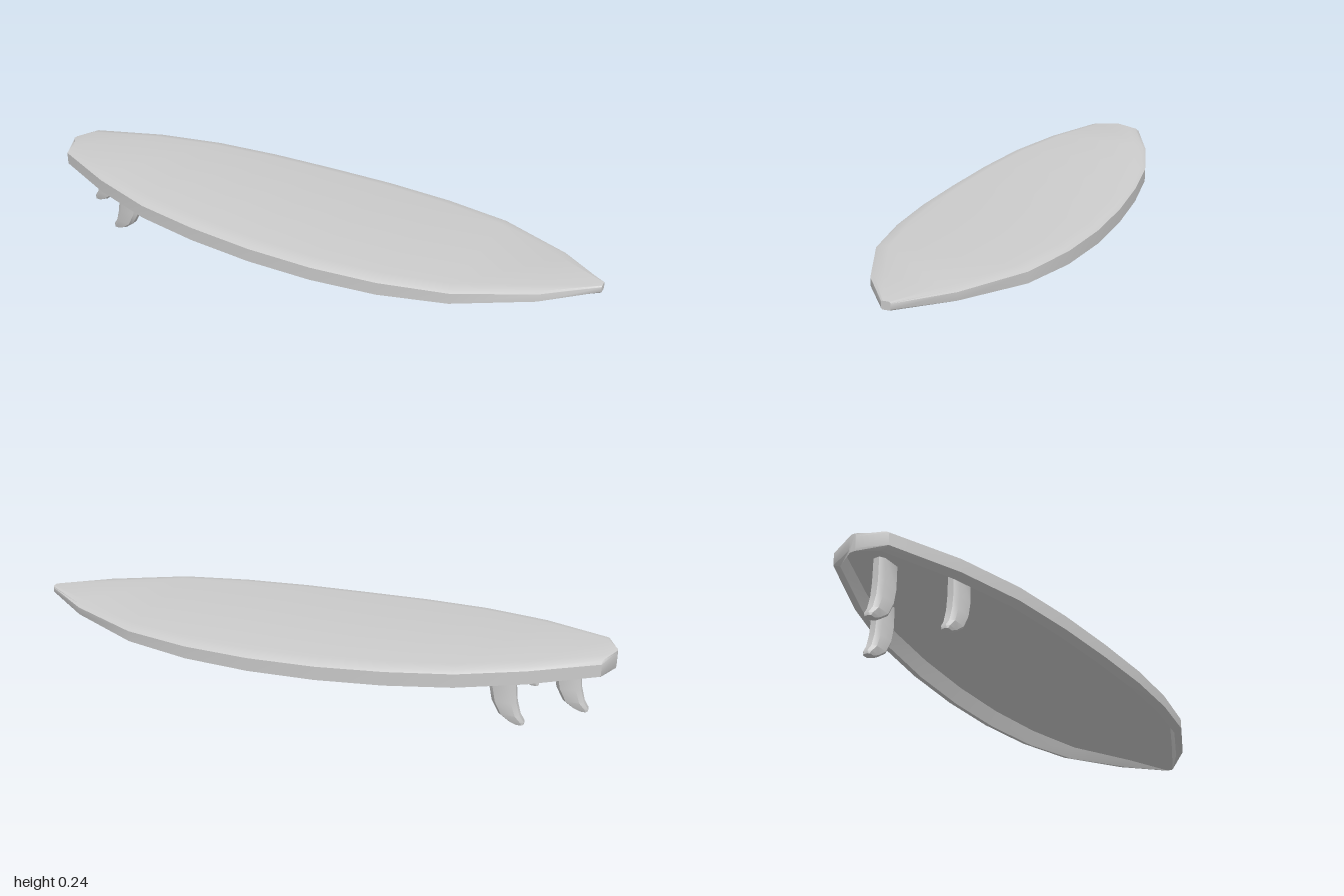
import * as THREE from 'three';
import { toCreasedNormals } from 'three/addons/utils/BufferGeometryUtils.js';

// Skin a list of closed rings (arrays of [x, y, z]) and cap both ends.
function loft(rings, crease) {
  const n = rings[0].length, last = (rings.length - 1) * n, index = [];
  for (let i = 0; i < rings.length - 1; i++) {
    for (let j = 0; j < n; j++) {
      const a = i * n + j, b = i * n + (j + 1) % n;
      index.push(a, b, a + n, b, b + n, a + n);
    }
  }
  for (let j = 1; j < n - 1; j++) {
    index.push(0, j + 1, j, last, last + j, last + j + 1);
  }
  const geometry = new THREE.BufferGeometry();
  geometry.setAttribute('position', new THREE.Float32BufferAttribute(rings.flat(2), 3));
  geometry.setIndex(index);
  return toCreasedNormals(geometry, crease);
}

// Board stations from tail to nose: x, half width, deck y, rail bottom y, recessed underside y
const STATIONS = [
  [-1, 0.012, 0.234, 0.174, 0.174],
  [-0.963, 0.102, 0.237, 0.17, 0.212],
  [-0.745, 0.2, 0.228, 0.156, 0.207],
  [-0.53, 0.265, 0.216, 0.142, 0.198],
  [-0.313, 0.297, 0.207, 0.131, 0.19],
  [-0.088, 0.313, 0.199, 0.124, 0.183],
  [0.14, 0.315, 0.196, 0.123, 0.18],
  [0.365, 0.297, 0.196, 0.127, 0.18],
  [0.59, 0.252, 0.198, 0.139, 0.182],
  [0.835, 0.138, 0.201, 0.16, 0.186],
  [1, 0.015, 0.204, 0.178, 0.178],
];

// One cross-section: flat deck, rounded rails, underside recessed between them
function boardRing([x, h, top, bottom, recess]) {
  const inset = Math.min(0.045, h * 0.4), t = top - bottom;
  const half = [
    [x, top, h - inset],
    [x, top - t * 0.08, h - inset * 0.3],
    [x, top - t * 0.2, h],
    [x, bottom + t * 0.17, h],
    [x, bottom, h - inset * 0.65],
    [x, recess, h - inset],
  ];
  const mirrored = half.map(([px, y, z]) => [px, y, -z]).reverse();
  return [...half, ...mirrored];
}

// Fin levels from root to tip: y, trailing x, leading x, half thickness
const FIN_LEVELS = [
  [0.212, -0.04, 0.046, 0.021],
  [0.13, -0.041, 0.044, 0.022],
  [0.08, -0.046, 0.034, 0.022],
  [0.035, -0.058, 0.01, 0.021],
  [0.012, -0.073, -0.02, 0.016],
  [0.002, -0.072, -0.045, 0.013],
];

// Foil section of a fin
const FOIL = [[1, 0.5], [0.7, 1], [-0.6, 1], [-1, 0.5], [-1, -0.5], [-0.6, -1], [0.7, -1], [1, -0.5]];

function finRing([y, back, front, half]) {
  return FOIL.map(([u, w]) => [(front + back) / 2 + u * (front - back) / 2, y, w * half]);
}

export function createModel() {
  const model = new THREE.Group();
  model.name = 'surfboard';
  const material = new THREE.MeshStandardMaterial({ color: 0xcccccc });

  // The whole board sits slightly turned and tilted
  const body = new THREE.Group();
  body.name = 'boardAssembly';
  body.rotation.set(-0.016, -0.041, 0);
  body.position.z = 0.001;
  model.add(body);

  const board = new THREE.Mesh(loft(STATIONS.map(boardRing), 0.7), material);
  board.name = 'board';
  body.add(board);

  // Three fins: one at the tail and a pair ahead of it
  const finGeometry = loft(FIN_LEVELS.map(finRing), 0.7);
  const fins = [['tailFin', -0.853, 0], ['leftFin', -0.67, 0.137], ['rightFin', -0.67, -0.152]];
  for (const [name, x, z] of fins) {
    const fin = new THREE.Mesh(finGeometry, material);
    fin.name = name;
    fin.position.set(x, 0, z);
    body.add(fin);
  }
  return model;
}
